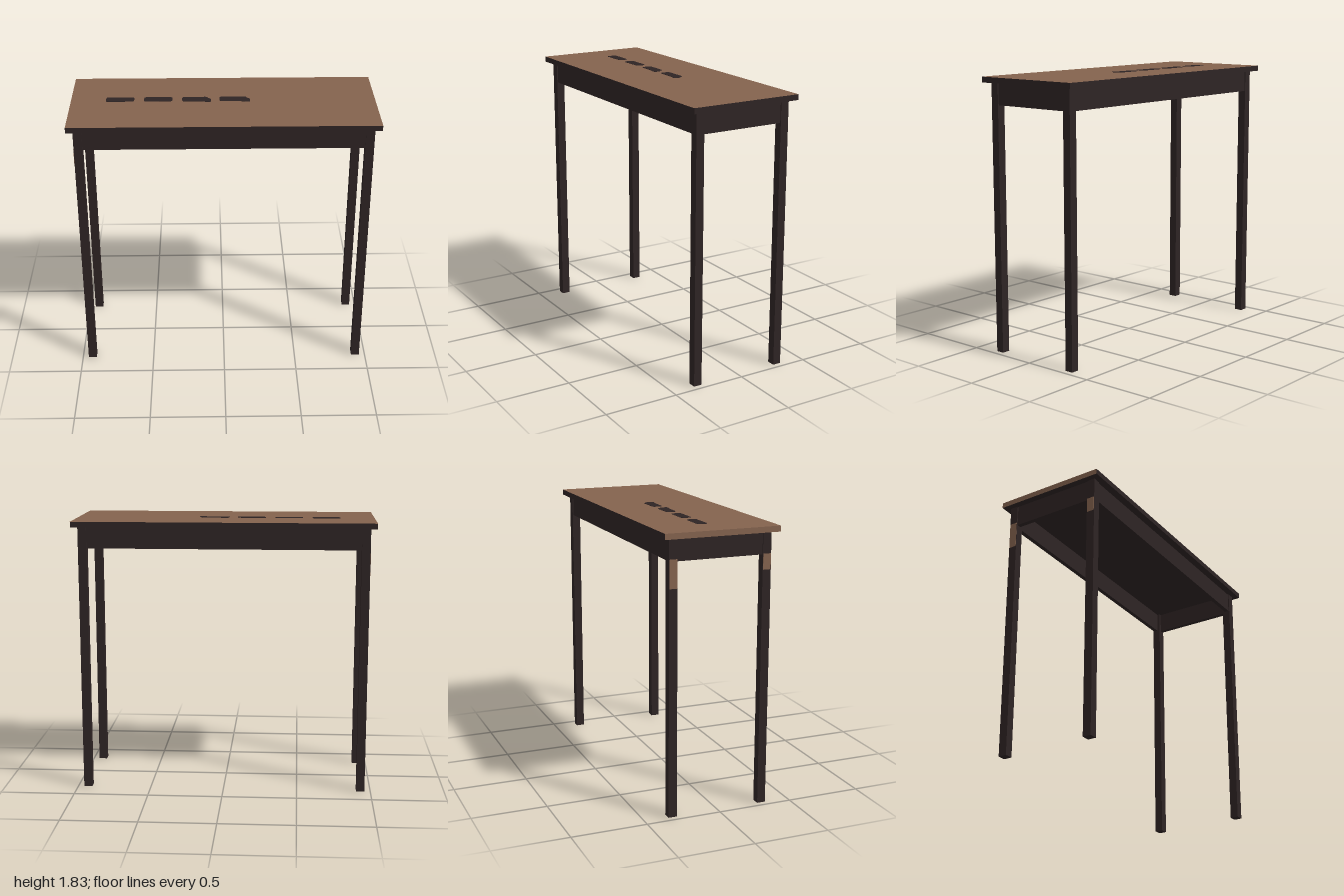
import * as THREE from 'three';

export function createModel() {
  const group = new THREE.Group();
  const dark = new THREE.MeshStandardMaterial({ name: 'darkWood', color: 0x2e2424 });
  const brown = new THREE.MeshStandardMaterial({ name: 'brownWood', color: 0x84634e });

  const topY = 1.825, underY = 1.788, apronY = 1.645;
  const legX = 0.932, legZ = 0.312, legSize = 0.056;

  function add(name, geometry, material, x, y, z) {
    const mesh = new THREE.Mesh(geometry, material);
    mesh.name = name;
    mesh.position.set(x, y, z);
    group.add(mesh);
    return mesh;
  }
  const box = (name, w, h, d, material, x, y, z) =>
    add(name, new THREE.BoxGeometry(w, h, d), material, x, y, z);

  // Table top: brown upper face and one brown end, dark elsewhere
  box('tableTop', 2, topY - underY, 0.765, [dark, brown, brown, dark, dark, dark],
    0, (topY + underY) / 2, 0);

  // Legs and aprons, mirrored
  const apronH = underY - apronY, apronMid = (underY + apronY) / 2, thick = 0.03;
  for (const s of [-1, 1]) {
    for (const t of [-1, 1]) {
      box('leg', legSize, underY, legSize, dark, s * legX, underY / 2, t * legZ);
    }
    box('longApron', 2 * legX - legSize, apronH, thick, dark, 0, apronMid, s * 0.318);
    box('endApron', thick, apronH, 2 * legZ - legSize, dark, s * 0.938, apronMid, 0);
  }

  // Pale patches on the outer faces of the two right legs
  const faceX = -legX - legSize / 2 - 0.001;
  box('legPatchBack', 0.002, 0.18, legSize - 0.004, brown, faceX, 1.57, -legZ);
  box('legPatchFront', 0.002, 0.1, legSize - 0.004, brown, faceX, 1.6, legZ);

  // Row of dark marks inlaid in the top, the last two with a bulge at one corner
  function markGeometry(x0, x1, bulge) {
    const c = 0.018, z0 = -0.07, z1 = -0.005 + bulge * 0.2;
    const xr = x1 - bulge * 0.3;
    const shape = new THREE.Shape();
    shape.moveTo(x0 + c, -z0);
    shape.lineTo(xr - c, -z0);
    shape.quadraticCurveTo(xr, -z0, xr, -z0 - c);
    if (bulge) shape.quadraticCurveTo(x1, 0.045, x1, 0.02);
    shape.lineTo(x1, -z1 + c);
    shape.quadraticCurveTo(x1, -z1, x1 - c, -z1);
    if (bulge) shape.lineTo(x1 - 0.06, 0);
    shape.lineTo(x0 + c, 0.003);
    shape.quadraticCurveTo(x0, 0.003, x0, 0.003 + c);
    shape.lineTo(x0, -z0 - c);
    shape.quadraticCurveTo(x0, -z0, x0 + c, -z0);
    return new THREE.ExtrudeGeometry(shape, { depth: 0.002, bevelEnabled: false, curveSegments: 5 })
      .rotateX(-Math.PI / 2);
  }
  const marks = [[-0.77, -0.585, 0], [-0.52, -0.335, 0], [-0.27, -0.08, 0.07], [-0.025, 0.177, 0.07]];
  for (const [x0, x1, bulge] of marks) add('topMark', markGeometry(x0, x1, bulge), dark, 0, topY, 0);

  return group;
}
